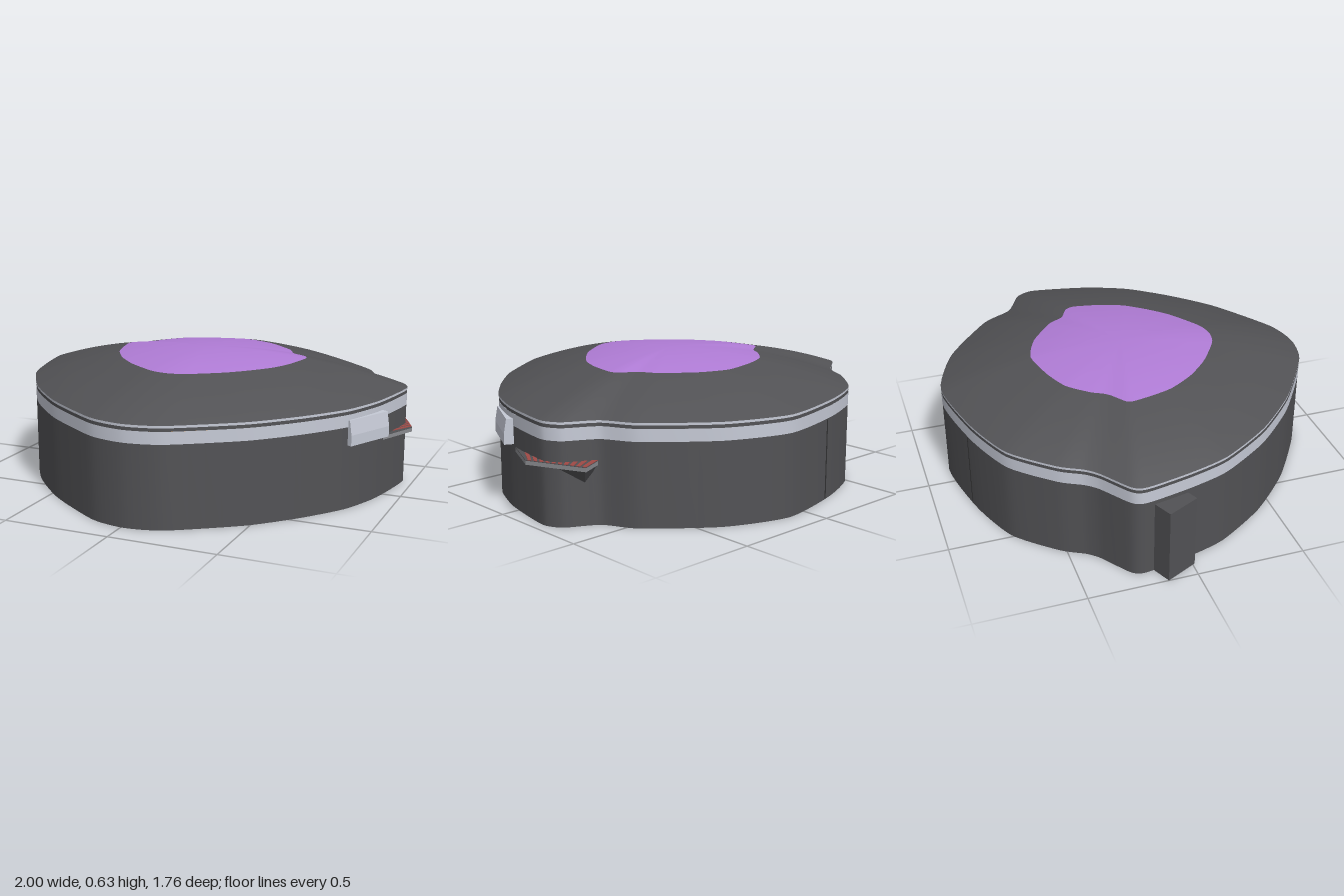
import * as THREE from 'three';
import { ConvexGeometry } from 'three/addons/geometries/ConvexGeometry.js';

const mat = (name, color) => {
  const m = new THREE.MeshStandardMaterial({ color, side: THREE.DoubleSide });
  m.name = name;
  return m;
};

// Plan outline of the shell as x, z pairs, starting at the back
const PLAN = [
  [0.105, -0.883], [0.405, -0.775], [0.68, -0.55], [0.77, -0.40], [0.91, -0.32], [0.953, -0.24],
  [0.935, -0.10], [0.895, 0.08], [0.815, 0.27], [0.67, 0.46], [0.485, 0.645], [0.19, 0.84],
  [0.015, 0.88], [-0.16, 0.84], [-0.45, 0.645], [-0.665, 0.43], [-0.82, 0.19], [-0.88, 0],
  [-0.922, -0.21], [-0.90, -0.275], [-0.77, -0.37], [-0.72, -0.425], [-0.66, -0.53],
  [-0.49, -0.71], [-0.24, -0.815],
];
const curve = new THREE.CatmullRomCurve3(
  PLAN.map(([x, z]) => new THREE.Vector3(x, 0, z)), true, 'catmullrom', 0.33);
const outline = curve.getPoints(150).slice(0, 150).map((p) => [p.x, p.z]);

// Skin between copies of a plan scaled about a centre; rings are [scale, y] upwards
function loft(plan, rings, { flat = false, centre = [0, 0] } = {}) {
  const pos = [], idx = [], n = plan.length, [cx, cz] = centre;
  for (const [s, y] of rings) {
    for (const [x, z] of plan) pos.push(cx + (x - cx) * s, y, cz + (z - cz) * s);
  }
  for (let r = 0; r < rings.length - 1; r++) {
    for (let i = 0; i < n; i++) {
      const a = r * n + i, b = r * n + ((i + 1) % n);
      idx.push(a, a + n, b + n, a, b + n, b);
    }
  }
  let g = new THREE.BufferGeometry();
  g.setAttribute('position', new THREE.Float32BufferAttribute(pos, 3));
  g.setIndex(idx);
  if (flat) g = g.toNonIndexed();
  g.computeVertexNormals();
  return g;
}

const hull = (pts) => new ConvexGeometry(pts.map((p) => new THREE.Vector3(...p)));
// Prism standing on a convex x, z plan
const slab = (plan, y0, y1) => hull(plan.flatMap(([x, z]) => [[x, y0, z], [x, y1, z]]));
// Diagonal room axes turned into x, z
const diag = ([s, d]) => [(-s - d) * 0.707, (d - s) * 0.707];
// Block square to the room axes
const block = (s0, s1, d0, d1, y0, y1) =>
  slab([[s0, d0], [s1, d0], [s1, d1], [s0, d1]].map(diag), y0, y1);
const mix = (a, b, t) => a.map((v, i) => v + (b[i] - v) * t);

export function createModel() {
  const group = new THREE.Group();
  const dark = mat('dark grey', 0x525255);
  const grey = mat('mid grey', 0x8a8c90);
  const silver = mat('silver', 0xc6cad6);
  const purple = mat('purple', 0xb07cd6);
  const brown = mat('brown', 0xb8926e);
  const black = mat('black', 0x343435);
  const red = mat('red', 0xa04a46);
  const copper = mat('copper', 0xb06a48);
  const add = (name, geo, m) => {
    const mesh = new THREE.Mesh(geo, m);
    mesh.name = name;
    group.add(mesh);
    return mesh;
  };

  // Shell wall and the trim rings above it
  add('wall', loft(outline, [[0.998, 0], [0.998, 0.38]]), dark);
  add('silverBand', loft(outline, [[0.999, 0.38], [0.999, 0.436]]), silver);
  add('upperRing', loft(outline, [[0.998, 0.436], [0.998, 0.451]]), dark);
  add('rimTrim', loft(outline, [[0.999, 0.451], [0.999, 0.462]]), silver);

  // Shallow parabolic roof with a coloured cap
  const centre = [0.012, -0.024];
  const dome = (from, to) => Array.from({ length: 11 }, (_, i) => {
    const t = from + (to - from) * i / 10;
    return [t, 0.626 - 0.164 * t * t];
  });
  add('roof', loft(outline, dome(1, 0.502), { centre }), dark);
  add('roofCap', loft(outline, dome(0.502, 0.001), { centre }), purple);

  // Vertical seam on the back wall
  const seam = add('seam', new THREE.BoxGeometry(0.006, 0.37, 0.006), black);
  seam.position.set(-0.2, 0.19, -0.824);
  seam.rotation.y = 0.25;

  // Sunken room: floor, ribbed flaring sides and the deck out to the wall
  const room = [[-0.43, -0.22], [-0.43, 0.2], [-0.37, 0.48], [0.46, 0.36], [0.52, 0.07],
    [0.5, -0.05], [0.31, -0.45], [-0.29, -0.48]].map(diag);
  add('floor', slab(room, 0.065, 0.074), brown);
  const BANDS = 14;
  const level = (k) => [1 + 0.4 * k / BANDS, 0.07 + 0.17 * k / BANDS];
  for (let k = 0; k < BANDS; k++) {
    add('roomRib', loft(room, [level(k), level(k + 1)], { flat: true }), k % 2 ? dark : black);
  }
  add('deck', loft(outline, [[0.997, 0.24], [0.6, 0.24]]), dark);
  add('copperEdge', block(-0.64, -0.61, -0.33, -0.05, 0.22, 0.24), copper);

  // Fittings around the room
  add('nearBeam', block(-0.29, 0.31, -0.53, -0.48, 0.07, 0.15), black);
  for (const [s, d] of [[-0.38, -0.57], [0.05, -0.6], [0.36, -0.53]]) {
    add('smallFitting', block(s - 0.05, s + 0.05, d - 0.03, d + 0.03, 0.09, 0.14), silver);
  }
  add('lowerPanel', slab([[0.4, -0.68], [0.78, -0.16], [0.78, 0.08], [0.58, -0.25]].map(diag), 0.01, 0.08), black);
  add('redFin', slab([[0.33, -0.48], [0.43, -0.44], [0.51, -0.17], [0.46, -0.2]].map(diag), 0.06, 0.1), red);
  add('consoleBlock', block(0.56, 0.77, 0.13, 0.3, 0.02, 0.1), silver);
  add('consoleTrim', block(0.55, 0.6, 0.04, 0.12, 0.04, 0.1), red);

  // Upright box on the right-hand wall
  add('sideBox', slab([[-1, -0.135], [-0.86, -0.2], [-0.79, -0.055], [-0.93, 0.01]], 0, 0.36), dark);

  // Bevelled handle on the left-hand wall
  const profile = [[-0.012, 0.412], [0, 0.345], [0, 0.296], [-0.1, 0.296], [-0.1, 0.412]];
  add('handle', hull([[0.945, 0.05], [0.835, 0.275]].flatMap(([x, z]) =>
    profile.map(([n, y]) => [x + n * 0.894, y, z + n * 0.447]))), silver);

  // Thin ledge with red stripes on top and two wedge brackets below
  const inner = [[0.75, -0.38], [0.89, 0.015]], outer = [[0.88, -0.44], [0.998, -0.18]];
  add('ledge', slab([...inner, ...outer, [0.91, 0.015]], 0.266, 0.284), grey);
  add('ledgeTop', slab([...inner, ...outer, [0.91, 0.015]], 0.284, 0.287), dark);
  for (let i = 0; i < 10; i++) {
    const [t, u] = [i / 10, (i + 0.6) / 10];
    add('ledgeStripe', slab([mix(...inner, t), mix(...outer, t), mix(...outer, u), mix(...inner, u)],
      0.287, 0.289), red);
  }
  add('rearBracket', hull([[0.76, 0.266, -0.38], [0.88, 0.266, -0.435], [0.93, 0.266, -0.31],
    [0.82, 0.266, -0.3], [0.84, 0.2, -0.38]]), dark);
  add('frontBracket', hull([[0.93, 0.266, -0.31], [0.96, 0.266, -0.18], [0.9, 0.266, -0.02],
    [0.88, 0.266, -0.18], [0.93, 0.243, -0.17]]), dark);

  return group;
}
